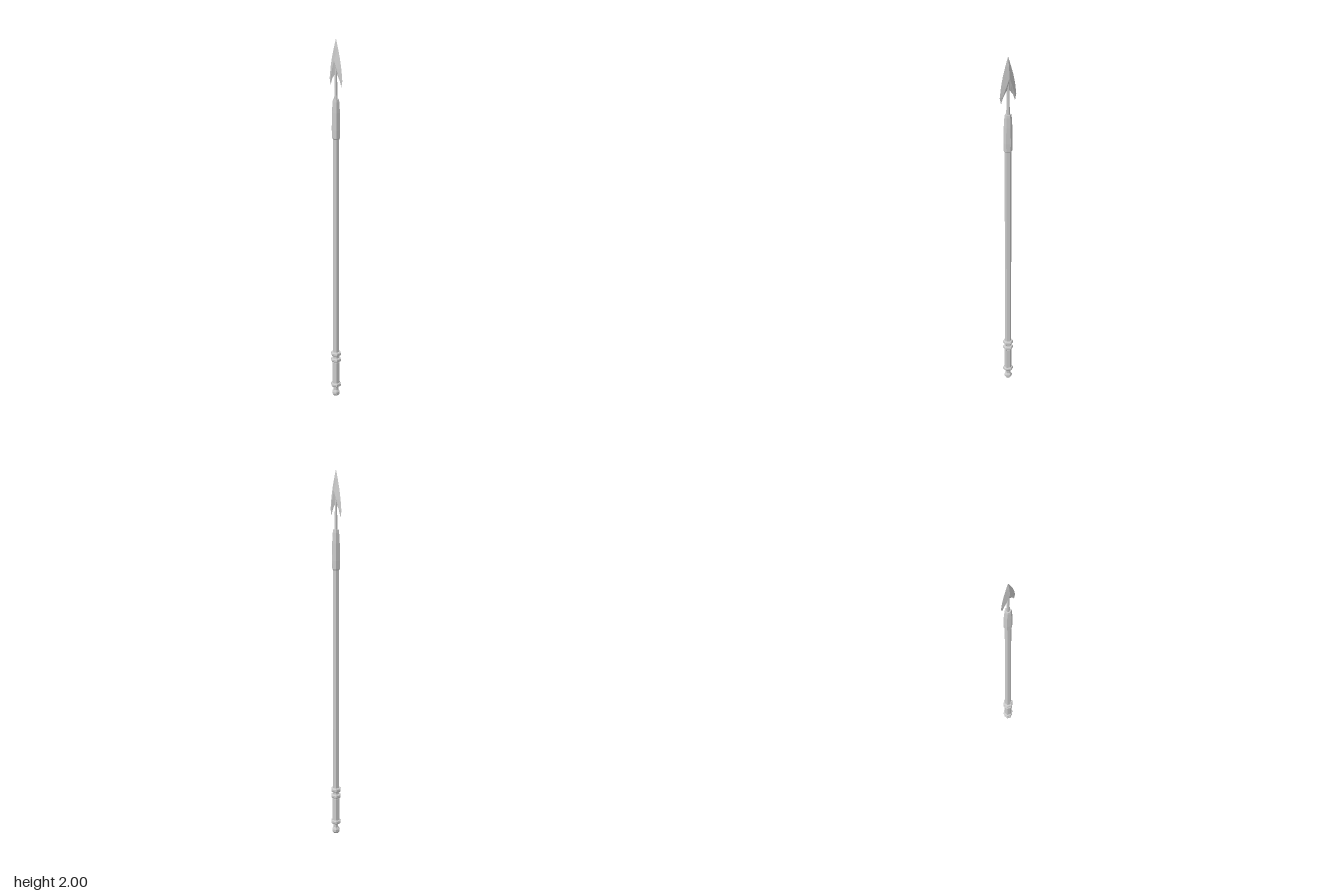
import * as THREE from 'three';

const material = new THREE.MeshStandardMaterial({ color: 0xcccccc, flatShading: true });

// Six-sided turned part from [radius, height] pairs, listed bottom to top, corners on the x axis
function turned(name, profile) {
  const points = profile.map(([r, y]) => new THREE.Vector2(r, y));
  const mesh = new THREE.Mesh(new THREE.LatheGeometry(points, 6, Math.PI / 2), material);
  mesh.name = name;
  return mesh;
}

// Bevelled ring around the shaft
function ring(name, y) {
  return turned(name, [
    [0.015, y - 0.011], [0.025, y - 0.01], [0.029, y - 0.005],
    [0.029, y + 0.005], [0.025, y + 0.01], [0.015, y + 0.011],
  ]);
}

// Barbed head: one quarter as strips edge-ridge-notch, mirrored in x and z
function spearHead() {
  const edge = [[0, 2, 0], [0, 1.95, 0.017], [0, 1.9, 0.032], [0, 1.85, 0.043], [0, 1.79, 0.051], [0, 1.755, 0.043]];
  const ridge = [[0, 2, 0], [0.008, 1.95, 0], [0.013, 1.89, 0], [0.011, 1.85, 0.016], [0.006, 1.8, 0.034], [0, 1.755, 0.043]];
  const notch = [[0, 1.83, 0], [0, 1.815, 0.012], [0, 1.79, 0.03], [0, 1.755, 0.043]];
  const positions = [];
  const strip = (a, b, sx, sz) => {
    for (let i = 0; i + 1 < a.length; i++) {
      for (const tri of [[a[i], b[i], b[i + 1]], [a[i], b[i + 1], a[i + 1]]]) {
        const corners = sx * sz > 0 ? [...tri].reverse() : tri;
        for (const [x, y, z] of corners) positions.push(x * sx, y, z * sz);
      }
    }
  };
  for (const sx of [1, -1]) {
    for (const sz of [1, -1]) {
      strip(edge, ridge, sx, sz);
      strip(ridge.slice(2), notch, sx, sz);
    }
  }
  const geometry = new THREE.BufferGeometry();
  geometry.setAttribute('position', new THREE.Float32BufferAttribute(positions, 3));
  geometry.computeVertexNormals();
  const bladeMaterial = material.clone();
  bladeMaterial.side = THREE.DoubleSide;
  const mesh = new THREE.Mesh(geometry, bladeMaterial);
  mesh.name = 'spearHead';
  return mesh;
}

export function createModel() {
  const model = new THREE.Group();
  model.name = 'spear';
  model.add(
    // Butt end
    turned('pommel', [[0, 0], [0.013, 0.002], [0.022, 0.012], [0.022, 0.025], [0.014, 0.037], [0.014, 0.062]]),
    ring('buttRing', 0.07),
    turned('grip', [[0, 0.06], [0.021, 0.075], [0.021, 0.205], [0.018, 0.215]]),
    ring('lowerRing', 0.222),
    ring('upperRing', 0.258),
    // Shaft and the sleeve that holds the head
    turned('shaft', [[0.0175, 0.2], [0.0175, 1.5]]),
    turned('sleeve', [[0.017, 1.478], [0.022, 1.485], [0.0235, 1.53], [0.022, 1.62], [0.0185, 1.675], [0.016, 1.69], [0, 1.69]]),
    turned('headRod', [[0.01, 1.68], [0.007, 1.78], [0.006, 1.87], [0, 1.88]]),
    spearHead(),
  );
  return model;
}
